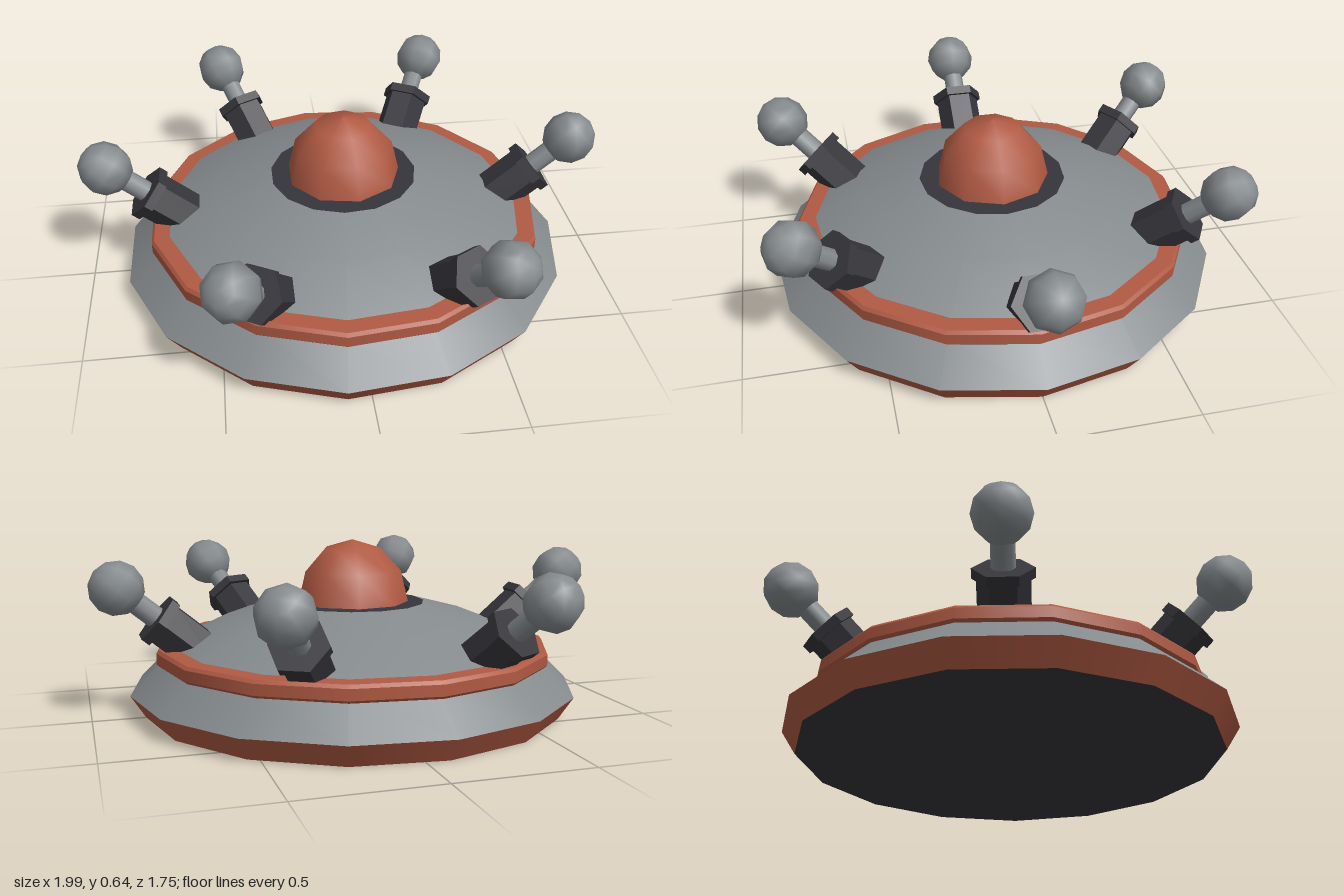
import * as THREE from 'three';

const orange = new THREE.MeshStandardMaterial({ color: 0xb05a43 });
orange.name = 'orange';
const grey = new THREE.MeshStandardMaterial({ color: 0x858a8d });
grey.name = 'grey';
const charcoal = new THREE.MeshStandardMaterial({ color: 0x36353b });
charcoal.name = 'charcoal';

function addMesh(parent, name, geometry, material) {
  const mesh = new THREE.Mesh(geometry, material);
  mesh.name = name;
  parent.add(mesh);
  return mesh;
}

// Turned part with a corner on +x; the profile runs from bottom to top
function turned(points, sides = 15) {
  const profile = points.map(([r, y]) => new THREE.Vector2(r, y));
  return new THREE.LatheGeometry(profile, sides, Math.PI / 2);
}

// Prism with hard edges
function prism(radius, length, sides) {
  const g = new THREE.CylinderGeometry(radius, radius, length, sides).toNonIndexed();
  g.computeVertexNormals();
  return g;
}

// Rod with a ball end in a hexagonal socket; the ball centre is the origin, +y points outward
function createEmitter() {
  const emitter = new THREE.Group();
  emitter.name = 'emitter';
  addMesh(emitter, 'ball', new THREE.SphereGeometry(0.102, 8, 6), grey);
  addMesh(emitter, 'rod', new THREE.CylinderGeometry(0.041, 0.041, 0.2, 8), grey).position.y = -0.14;
  addMesh(emitter, 'socketFlange', prism(0.105, 0.035, 6), charcoal).position.y = -0.195;
  addMesh(emitter, 'socket', prism(0.09, 0.23, 6), charcoal).position.y = -0.315;
  return emitter;
}

export function createModel() {
  const model = new THREE.Group();
  model.name = 'saucer';

  // Hull, from the underside up
  addMesh(model, 'underside', turned([[0, 0], [0.805, 0]]), charcoal);
  addMesh(model, 'lowerRim', turned([[0.805, 0], [0.86, 0.085]]), orange);
  addMesh(model, 'lowerHull', turned([[0.86, 0.085], [0.74, 0.2]]), grey);
  addMesh(model, 'upperHull', turned([[0.7, 0.25], [0.5, 0.345], [0.28, 0.405]]), grey);
  addMesh(model, 'topPlate', turned([[0.28, 0.405], [0, 0.405]]), charcoal);

  // Bevelled band around the hull, each face turned separately to keep its edges sharp
  const band = new THREE.Group();
  band.name = 'band';
  const section = [[0.7, 0.19], [0.75, 0.19], [0.76, 0.2], [0.76, 0.24], [0.75, 0.252], [0.685, 0.255]];
  for (let i = 0; i < section.length - 1; i++) {
    addMesh(band, 'bandFace', turned([section[i], section[i + 1]]), orange);
  }
  model.add(band);

  // Central dome
  const arc = [0, 1, 2, 3].map((i) => {
    const a = (i * Math.PI) / 6;
    return [i === 3 ? 0 : 0.217 * Math.cos(a), 0.405 + 0.24 * Math.sin(a)];
  });
  addMesh(model, 'dome', turned(arc, 9), orange);

  // Six emitters around the hull, tilted 40 degrees above the horizontal
  for (let i = 0; i < 6; i++) {
    const arm = new THREE.Group();
    arm.name = 'emitterArm';
    const emitter = createEmitter();
    emitter.position.set(0.893, 0.49, 0);
    emitter.rotation.z = -THREE.MathUtils.degToRad(50);
    arm.add(emitter);
    arm.rotation.y = (i * Math.PI) / 3;
    model.add(arm);
  }
  return model;
}
